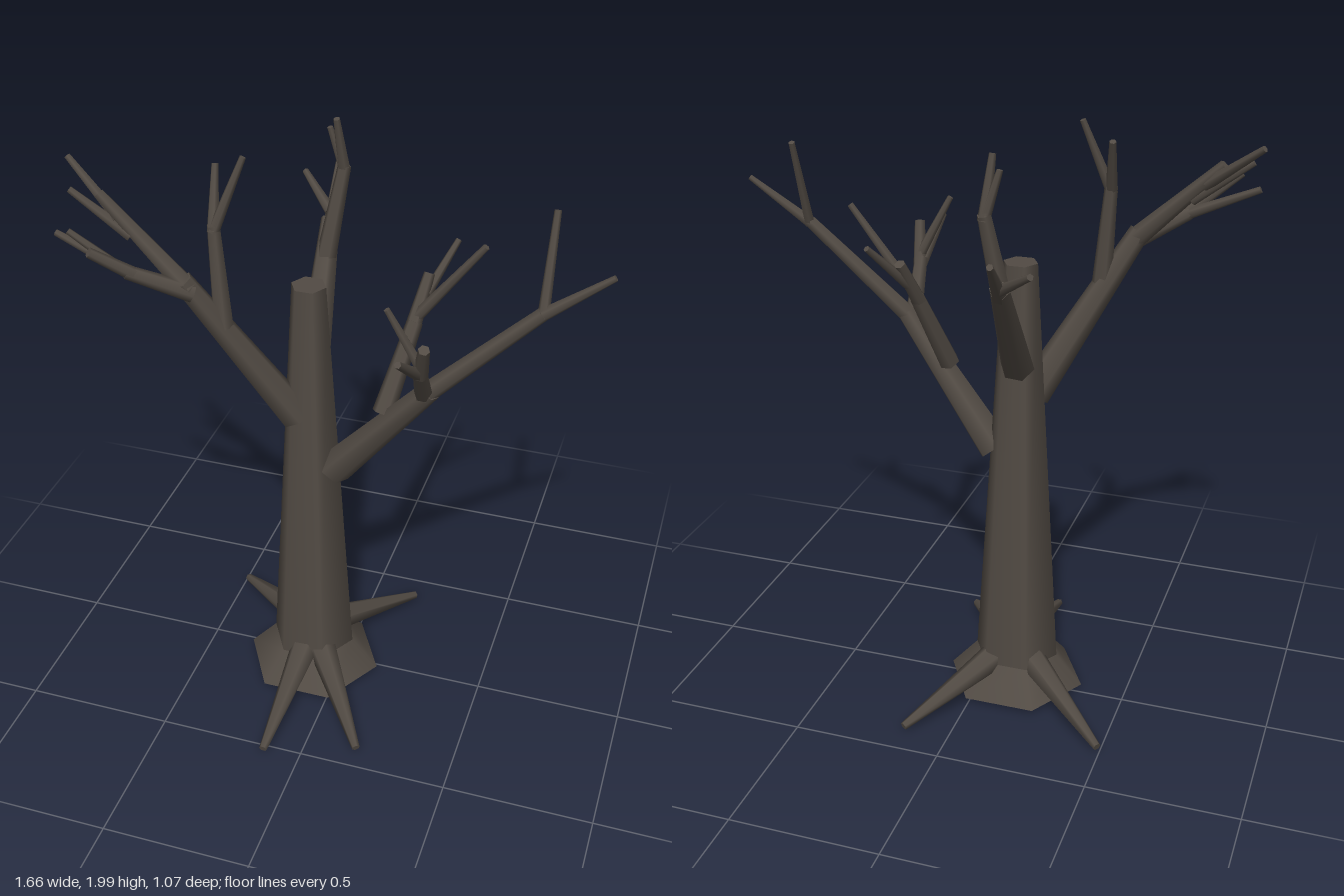
import * as THREE from 'three';

const bark = new THREE.MeshStandardMaterial({ color: 0x524b44 });
bark.name = 'bark';
const UP = new THREE.Vector3(0, 1, 0);

// Tapered six-sided limb running from point a to point b
function limb(name, a, b, r0, r1) {
  const start = new THREE.Vector3(...a);
  const dir = new THREE.Vector3(...b).sub(start);
  const length = dir.length();
  const geometry = new THREE.CylinderGeometry(r1, r0, length, 6);
  geometry.rotateY(Math.PI / 6);
  geometry.translate(0, length / 2, 0);
  const mesh = new THREE.Mesh(geometry, bark);
  mesh.name = name;
  mesh.position.copy(start);
  mesh.quaternion.setFromUnitVectors(UP, dir.normalize());
  return mesh;
}

// Group of limbs, each given as [start, end, start radius, end radius]
function limbGroup(name, part, list) {
  const group = new THREE.Group();
  group.name = name;
  list.forEach(([a, b, r0, r1], i) => group.add(limb(part + (i + 1), a, b, r0, r1)));
  return group;
}

export function createModel() {
  const tree = new THREE.Group();
  tree.name = 'bareTree';

  // Trunk and flared foot
  tree.add(limb('trunk', [-0.11, 0.12, 0.025], [-0.11, 1.55, 0.025], 0.146, 0.057));
  tree.add(limb('trunkFoot', [-0.11, 0.02, 0.025], [-0.11, 0.125, 0.025], 0.238, 0.146));

  // Roots spreading from the foot
  const tips = [[-0.49, -0.305], [0.155, -0.4], [0.175, 0.43], [-0.125, 0.53]];
  tree.add(limbGroup('roots', 'root', tips.map(([x, z]) => {
    const d = new THREE.Vector2(x + 0.11, z - 0.025).normalize().multiplyScalar(0.1);
    return [[-0.11 + d.x, 0.135, 0.025 + d.y], [x, 0.02, z], 0.05, 0.014];
  })));

  // Low branch on the left side
  tree.add(limbGroup('leftBranch', 'limb', [
    [[-0.025, 0.885, 0.04], [0.31, 1.3, 0.115], 0.06, 0.035],
    [[0.29, 1.28, 0.115], [0.63, 1.6, 0.07], 0.033, 0.022],
    [[0.62, 1.59, 0.07], [0.825, 1.737, 0.045], 0.021, 0.01],
    [[0.63, 1.59, 0.07], [0.63, 1.885, -0.035], 0.018, 0.011],
    // forward fork
    [[0.29, 1.28, 0.115], [0.31, 1.45, 0.25], 0.03, 0.023],
    [[0.31, 1.43, 0.24], [0.335, 1.56, 0.31], 0.024, 0.018],
    [[0.305, 1.43, 0.24], [0.285, 1.56, 0.41], 0.02, 0.011],
    [[0.315, 1.46, 0.255], [0.215, 1.66, 0.285], 0.018, 0.01],
    // rear fork
    [[0.15, 1.16, 0.075], [0.21, 1.43, -0.06], 0.036, 0.026],
    [[0.205, 1.41, -0.05], [0.23, 1.56, -0.145], 0.026, 0.018],
    [[0.21, 1.44, -0.07], [0.42, 1.715, -0.075], 0.02, 0.011],
    [[0.22, 1.48, -0.1], [0.295, 1.635, -0.25], 0.018, 0.01],
  ]));

  // Branch on the right side
  tree.add(limbGroup('rightBranch', 'limb', [
    [[-0.145, 1.09, 0.065], [-0.44, 1.62, 0.235], 0.057, 0.034],
    [[-0.42, 1.59, 0.23], [-0.7, 1.86, 0.215], 0.034, 0.018],
    [[-0.64, 1.79, 0.22], [-0.825, 1.935, 0.15], 0.02, 0.011],
    [[-0.6, 1.74, 0.225], [-0.785, 1.87, 0.235], 0.02, 0.011],
    // drooping fork
    [[-0.41, 1.58, 0.23], [-0.58, 1.67, 0.32], 0.03, 0.022],
    [[-0.56, 1.66, 0.31], [-0.665, 1.75, 0.38], 0.022, 0.016],
    [[-0.57, 1.665, 0.315], [-0.8, 1.765, 0.317], 0.019, 0.011],
    [[-0.57, 1.665, 0.32], [-0.735, 1.8, 0.36], 0.017, 0.01],
    // upright fork
    [[-0.335, 1.45, 0.18], [-0.36, 1.78, 0.16], 0.033, 0.021],
    [[-0.36, 1.76, 0.165], [-0.38, 1.94, 0.075], 0.02, 0.011],
    [[-0.36, 1.76, 0.165], [-0.275, 1.99, 0.115], 0.019, 0.01],
  ]));

  // Branch at the back
  tree.add(limbGroup('backBranch', 'limb', [
    [[-0.12, 1.22, -0.03], [-0.165, 1.59, -0.36], 0.056, 0.032],
    [[-0.16, 1.56, -0.34], [-0.19, 1.715, -0.53], 0.027, 0.011],
    [[-0.175, 1.6, -0.39], [-0.295, 1.685, -0.49], 0.02, 0.011],
    // upright fork
    [[-0.15, 1.5, -0.27], [-0.105, 1.8, -0.325], 0.034, 0.022],
    [[-0.105, 1.78, -0.325], [-0.118, 1.97, -0.285], 0.021, 0.011],
    [[-0.105, 1.78, -0.325], [-0.148, 1.93, -0.31], 0.018, 0.01],
  ]));

  return tree;
}
